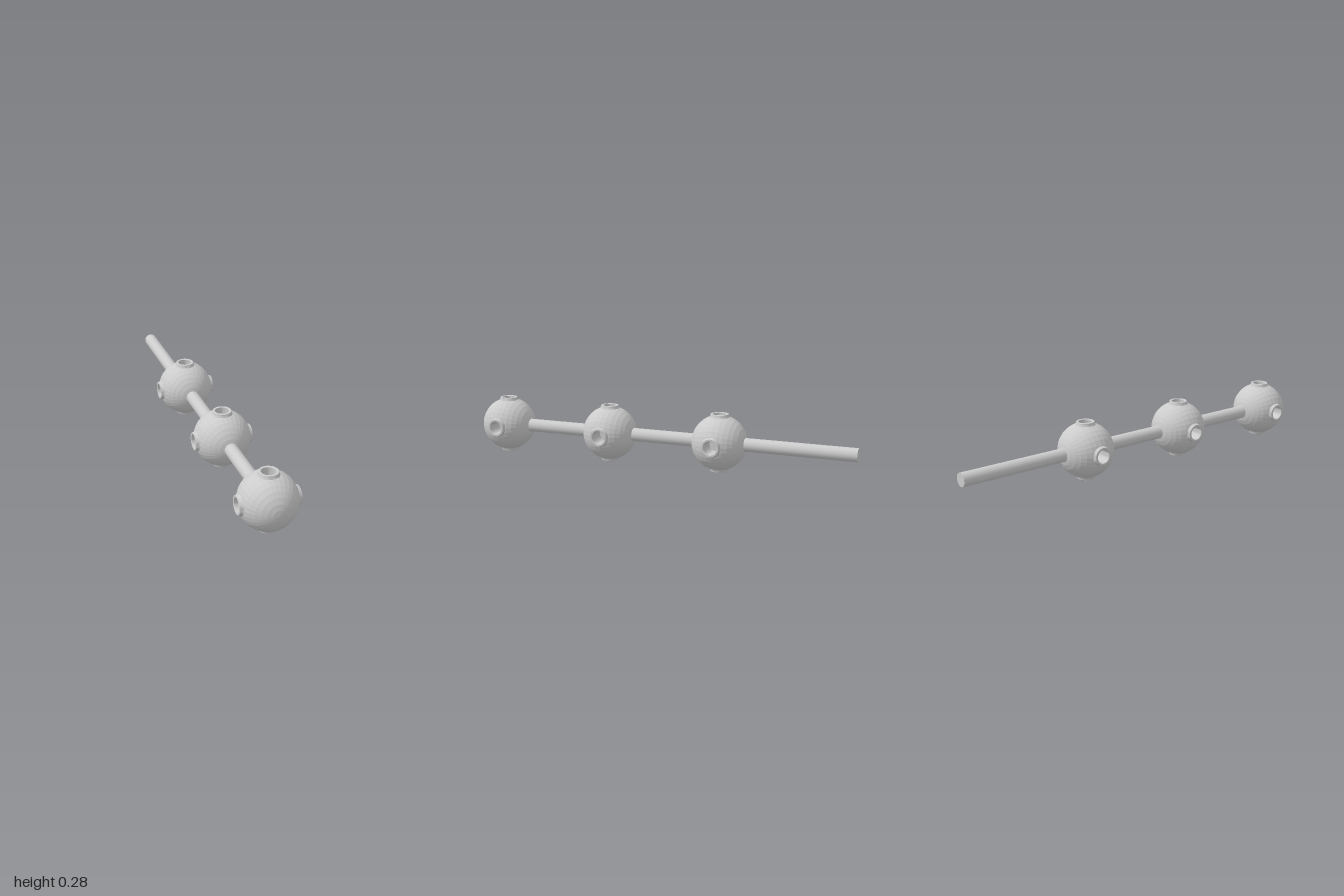
import * as THREE from 'three';
import { toCreasedNormals } from 'three/addons/utils/BufferGeometryUtils.js';

const R = 0.137;          // ball radius
const ROD = 0.033;        // rod and socket radius
const CUT = 0.038;        // opening cut in the ball, hidden under the collar
const Y = 0.1425;         // height of the axis
const BALLS = [0.863, 0.27, -0.32];
const SOCKETS = [[0, 1, 0], [0, -1, 0], [1, 0, 0], [-1, 0, 0]].map(a => new THREE.Vector3(...a));

// Split a convex polygon by the plane n.p = d into its outer and inner pieces
function split(poly, n, d) {
  const outer = [], inner = [];
  poly.forEach((a, i) => {
    const b = poly[(i + 1) % poly.length];
    const da = n.dot(a) - d, db = n.dot(b) - d;
    (da > 0 ? outer : inner).push(a);
    if (da > 0 !== db > 0) {
      const p = a.clone().lerp(b, da / (da - db));
      outer.push(p);
      inner.push(p);
    }
  });
  return [outer, inner];
}

// Faceted ball with a round opening cut out at each socket
function ballGeometry() {
  const pos = new THREE.SphereGeometry(R, 32, 16).rotateX(Math.PI / 2).toNonIndexed().attributes.position;
  let polys = [];
  for (let i = 0; i < pos.count; i += 3) {
    polys.push([0, 1, 2].map(k => new THREE.Vector3().fromBufferAttribute(pos, i + k)));
  }
  for (const axis of SOCKETS) {
    const u = new THREE.Vector3(0, 0, 1), v = new THREE.Vector3().crossVectors(axis, u);
    const kept = [];
    for (const poly of polys) {
      if (poly.some(p => p.dot(axis) < 0.09)) { kept.push(poly); continue; }
      let rest = poly;
      const pieces = [];
      for (let k = 0; k < 16 && rest.length > 2; k++) {
        const t = k * Math.PI / 8;
        const n = u.clone().multiplyScalar(Math.cos(t)).addScaledVector(v, Math.sin(t));
        const [outer, inner] = split(rest, n, CUT);
        if (outer.length > 2) pieces.push(outer);
        rest = inner;
      }
      // Keep untouched facets whole
      if (rest.length > 2) kept.push(...pieces);
      else kept.push(poly);
    }
    polys = kept;
  }
  const points = [];
  for (const p of polys) {
    for (let i = 1; i < p.length - 1; i++) points.push(p[0], p[i], p[i + 1]);
  }
  const geometry = new THREE.BufferGeometry().setFromPoints(points);
  geometry.computeVertexNormals();
  return geometry;
}

// Raised collar with a blind socket, turned around the y axis
function socketGeometry() {
  const profile = [
    [0.051, 0.124], [0.047, 0.132], [0.0455, 0.135], [0.045, 0.141], [0.0435, 0.1425],
    [0.035, 0.1425], [ROD, 0.141], [ROD, 0.05], [0, 0.05],
  ].map(p => new THREE.Vector2(...p));
  return toCreasedNormals(new THREE.LatheGeometry(profile, 32), 0.6);
}

export function createModel() {
  const model = new THREE.Group();
  model.name = 'rodWithBallConnectors';
  const faceted = new THREE.MeshStandardMaterial({ color: 0xcccccc, flatShading: true });
  const smooth = new THREE.MeshStandardMaterial({ color: 0xcccccc, side: THREE.DoubleSide });
  const ballGeo = ballGeometry(), socketGeo = socketGeometry();

  // Ball connectors with four sockets each
  BALLS.forEach((z, i) => {
    const connector = new THREE.Group();
    connector.name = `connector${i + 1}`;
    connector.position.set(0, Y, z);
    const ball = new THREE.Mesh(ballGeo, faceted);
    ball.name = 'ball';
    connector.add(ball);
    SOCKETS.forEach((axis, k) => {
      const socket = new THREE.Mesh(socketGeo, smooth);
      socket.name = ['topSocket', 'bottomSocket', 'leftSocket', 'rightSocket'][k];
      socket.quaternion.setFromUnitVectors(new THREE.Vector3(0, 1, 0), axis);
      connector.add(socket);
    });
    model.add(connector);
  });

  // Rods, each running from inside one ball to inside the next; the last has a free end
  const stops = [...BALLS.map(z => z - 0.05), -1];
  for (let i = 0; i < 3; i++) {
    const start = stops[i], end = i < 2 ? BALLS[i + 1] + 0.05 : -1;
    const rod = new THREE.Mesh(new THREE.CylinderGeometry(ROD, ROD, start - end, 32).rotateX(Math.PI / 2), smooth);
    rod.name = `rod${i + 1}`;
    rod.position.set(0, Y, (start + end) / 2);
    model.add(rod);
  }
  return model;
}
